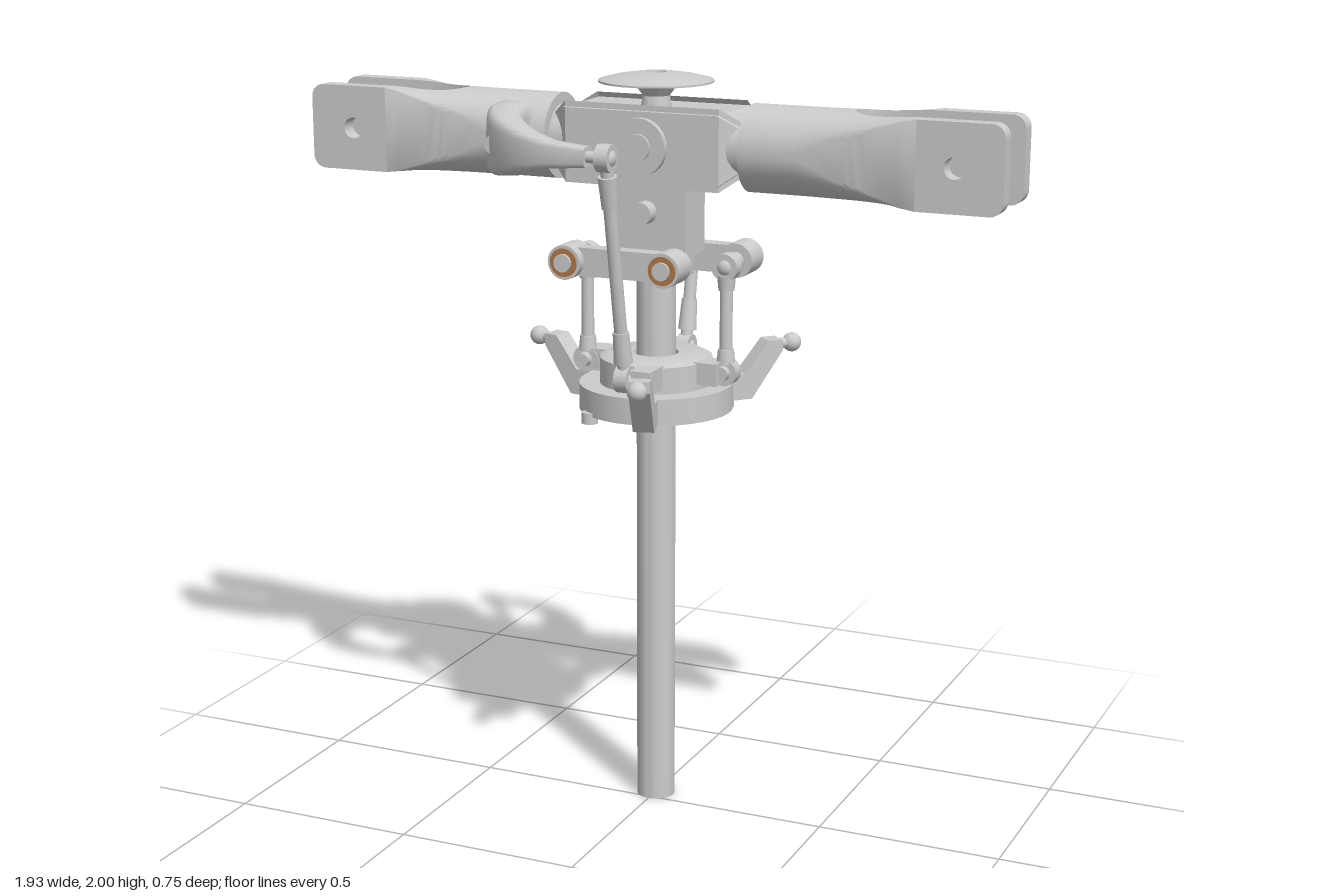
import * as THREE from 'three';
import { toCreasedNormals } from 'three/addons/utils/BufferGeometryUtils.js';

const V = (x, y, z) => new THREE.Vector3(x, y, z);
const grey = new THREE.MeshStandardMaterial({ color: 0xcccccc });
const bronze = new THREE.MeshStandardMaterial({ color: 0xb07a4a });
const GRIP_Y = 1.82;

function add(parent, name, geometry, material = grey) {
  const mesh = new THREE.Mesh(geometry, material);
  mesh.name = name;
  parent.add(mesh);
  return mesh;
}

const box = (p, name, w, h, d, x, y, z) => add(p, name, new THREE.BoxGeometry(w, h, d).translate(x, y, z));
const ball = (p, name, r, at) => add(p, name, new THREE.SphereGeometry(r, 18, 12).translate(at.x, at.y, at.z));

// Cylinder running between two points
function bar(p, name, a, b, r, r2 = r, material = grey) {
  const mesh = add(p, name, new THREE.CylinderGeometry(r2, r, a.distanceTo(b), 24), material);
  mesh.position.copy(a).lerp(b, 0.5);
  mesh.quaternion.setFromUnitVectors(V(0, 1, 0), b.clone().sub(a).normalize());
  return mesh;
}

function turned(p, name, profile) {
  const lathe = new THREE.LatheGeometry(profile.map(([r, y]) => new THREE.Vector2(r, y)), 48);
  return add(p, name, toCreasedNormals(lathe, 0.6));
}

// Skin over a row of closed rings, capped at both ends and facing outwards
function loft(rings) {
  const n = rings[0].length, tris = [];
  for (let i = 0; i + 1 < rings.length; i++) {
    for (let j = 0; j < n; j++) {
      const k = (j + 1) % n, a = rings[i], b = rings[i + 1];
      tris.push([a[j], b[j], b[k]], [a[j], b[k], a[k]]);
    }
  }
  for (const [ring, flip] of [[rings[0], false], [rings[rings.length - 1], true]]) {
    const c = ring.reduce((s, q) => s.add(q), V(0, 0, 0)).divideScalar(n);
    for (let j = 0; j < n; j++) {
      const k = (j + 1) % n;
      tris.push(flip ? [c, ring[k], ring[j]] : [c, ring[j], ring[k]]);
    }
  }
  const volume = tris.reduce((s, [a, b, c]) => s + a.dot(b.clone().cross(c)), 0);
  if (volume < 0) tris.forEach((t) => t.reverse());
  const geometry = new THREE.BufferGeometry().setFromPoints(tris.flat());
  return toCreasedNormals(geometry, 0.6);
}

// Rod with two sleeves and an eye at each end
function linkRod(p, name, a, b, axis) {
  const g = new THREE.Group();
  g.name = name;
  p.add(g);
  const at = (t) => a.clone().lerp(b, t);
  bar(g, 'rod', a, b, 0.017);
  bar(g, 'lowerSleeve', at(0.08), at(0.22), 0.025, 0.021);
  bar(g, 'upperSleeve', at(0.78), at(0.92), 0.021, 0.025);
  for (const end of [a, b]) {
    ball(g, 'jointBall', 0.027, end);
    bar(g, 'eye', end.clone().addScaledVector(axis, -0.018), end.clone().addScaledVector(axis, 0.018), 0.036);
  }
}

// Round root that turns into a square, slotted fork
function bladeGrip(p) {
  const R = 0.113, slot = 0.548, plate = 0.74, gap = 0.067;
  const g = new THREE.Group();
  g.name = 'bladeGrip';
  g.position.y = GRIP_Y;
  p.add(g);
  const xs = [0.27, 0.42, 0.48, 0.52, slot, 0.55, 0.553, 0.558, 0.566, 0.578, 0.595, 0.62, 0.66, 0.7, plate];
  for (const side of [1, -1]) {
    add(g, 'gripBody', loft(xs.map((x) => {
      const t = THREE.MathUtils.clamp((x - slot) / 0.12, 0, 1);
      const w = gap * Math.sqrt(1 - (1 - t) ** 2);
      const k = THREE.MathUtils.clamp((x - 0.41) / 0.31, 0, 1);
      const top = [];
      for (let i = 0; i <= 12; i++) {
        const z = w + (R - w) * Math.sin(i / 12 * Math.PI / 2);
        top.push(V(x, THREE.MathUtils.lerp(Math.sqrt(Math.max(0, R * R - z * z)), R, k), side * z));
      }
      return top.concat(top.map((q) => V(q.x, -q.y, q.z)).reverse());
    })));
    // Flat tine with rounded corners and a bolt hole
    const s = new THREE.Shape(), e = 0.965, c = 0.035;
    s.moveTo(plate, -R).lineTo(e - c, -R);
    s.absarc(e - c, -R + c, c, -Math.PI / 2, 0, false);
    s.absarc(e - c, R - c, c, 0, Math.PI / 2, false);
    s.lineTo(plate, R);
    s.holes.push(new THREE.Path().absarc(0.84, 0, 0.028, 0, Math.PI * 2, true));
    const tine = new THREE.ExtrudeGeometry(s, { depth: R - gap, bevelEnabled: false, curveSegments: 12 });
    add(g, 'forkTine', tine.translate(0, 0, side > 0 ? gap : -R));
  }
  bar(g, 'spindle', V(0.2, 0, 0), V(0.3, 0, 0), 0.085);
  bar(g, 'spindleBolt', V(0.5, 0, 0), V(0.57, 0, 0), 0.045);
}

// Curved horn from the grip round to the pitch link
function pitchArm(p) {
  const mid = new THREE.CatmullRomCurve3([
    V(0.37, GRIP_Y, -0.07), V(0.365, GRIP_Y, -0.13), V(0.325, GRIP_Y, -0.21),
    V(0.24, GRIP_Y, -0.275), V(0.15, GRIP_Y, -0.305), V(0.05, GRIP_Y, -0.31)]);
  const size = [[0.06, 0.095], [0.056, 0.095], [0.046, 0.08], [0.036, 0.055], [0.027, 0.035], [0.022, 0.026]];
  const rings = [];
  for (let i = 0; i <= 20; i++) {
    const t = i / 20, f = Math.min(t * 5, 4.999), n = Math.floor(f);
    const [w, h] = [0, 1].map((j) => THREE.MathUtils.lerp(size[n][j], size[n + 1][j], f - n));
    const c = mid.getPoint(t), tan = mid.getTangent(t), out = V(-tan.z, 0, tan.x).normalize();
    rings.push(Array.from({ length: 20 }, (_, j) => {
      const a = j / 20 * Math.PI * 2, u = Math.cos(a), v = Math.sin(a);
      const q = c.clone().addScaledVector(out, w * Math.sign(u) * Math.abs(u) ** 0.45);
      q.y += h * Math.sign(v) * Math.abs(v) ** 0.45;
      return q;
    }));
  }
  add(p, 'pitchArm', loft(rings));
  bar(p, 'armScrew', V(0.355, GRIP_Y, -0.15), V(0.355, GRIP_Y, -0.232), 0.026);
  bar(p, 'armStud', V(0.06, GRIP_Y, -0.31), V(0, GRIP_Y, -0.31), 0.015);
}

// Everything that occurs twice, half a turn apart
function rotorHalf() {
  const g = new THREE.Group();
  g.name = 'rotorHalf';
  bladeGrip(g);
  pitchArm(g);
  linkRod(g, 'pitchLink', V(0, 1.23, -0.2), V(0, GRIP_Y, -0.31), V(1, 0, 0));
  // Mixing lever with bronze-ringed bearings
  box(g, 'mixingLever', 0.28, 0.075, 0.045, 0.06, 1.51, -0.095);
  for (const x of [-0.08, 0.2]) {
    bar(g, 'leverBoss', V(x, 1.51, -0.06), V(x, 1.51, -0.145), 0.046);
    bar(g, 'bearingRing', V(x, 1.51, -0.14), V(x, 1.51, -0.149), 0.038, 0.038, bronze);
    bar(g, 'leverPin', V(x, 1.51, -0.02), V(x, 1.51, -0.157), 0.024);
  }
  linkRod(g, 'mixingLink', V(0.2, 1.225, 0), V(0.2, 1.505, 0), V(0, 0, 1));
  // Hub and neck fittings on this face
  bar(g, 'hubDisc', V(0, GRIP_Y, -0.1), V(0, GRIP_Y, -0.118), 0.075);
  bar(g, 'hubScrew', V(0, GRIP_Y, -0.1), V(0, GRIP_Y, -0.126), 0.035);
  bar(g, 'neckScrew', V(0, 1.645, 0), V(0, 1.645, -0.105), 0.03);
  // Swashplate lugs
  box(g, 'mixingLug', 0.16, 0.06, 0.07, 0.115, 1.225, 0.02);
  bar(g, 'mixingLugPin', V(0.2, 1.225, 0.035), V(0.2, 1.225, -0.04), 0.018);
  box(g, 'pitchLug', 0.06, 0.06, 0.1, -0.045, 1.225, -0.16);
  bar(g, 'pitchLugPin', V(-0.05, 1.225, -0.2), V(0.02, 1.225, -0.2), 0.015);
  return g;
}

export function createModel() {
  const model = new THREE.Group();
  model.name = 'rotorHead';
  const axis = new THREE.Group();
  axis.name = 'rotorAxis';
  axis.position.z = -0.04;
  model.add(axis);

  turned(axis, 'mainShaft', [[0.036, 0], [0.052, 0], [0.052, 1.75], [0.036, 1.75], [0.036, 0]]);

  // Hub block with chamfered edges all round
  const section = (x, hy, hz, c) => [[1, 1, 0], [1, 1, 1], [-1, 1, 1], [-1, 1, 0], [-1, -1, 0], [-1, -1, 1], [1, -1, 1], [1, -1, 0]]
    .map(([sy, sz, turn]) => V(x, GRIP_Y + sy * (hy - (turn ? 0 : c)), sz * (hz - (turn ? c : 0))));
  add(axis, 'hub', loft([[-0.263, 0.07, 0.07], [-0.215, 0.106, 0.112], [0.215, 0.106, 0.112], [0.263, 0.07, 0.07]]
    .map(([x, hy, hz]) => section(x, hy, hz, 0.015))));

  // Mushroom cap
  turned(axis, 'topCap', [[0, 1.91], [0.04, 1.91], [0.035, 1.94], [0.05, 1.96], [0.09, 1.97], [0.15, 1.975],
    [0.15, 1.98], [0.11, 1.99], [0.06, 1.998], [0.025, 2], [0.022, 1.985], [0, 1.985]]);

  box(axis, 'neck', 0.22, 0.2, 0.13, 0, 1.63, 0);
  box(axis, 'neckFoot', 0.16, 0.09, 0.13, 0, 1.51, 0);

  const half = rotorHalf();
  const otherHalf = half.clone();
  otherHalf.rotation.y = Math.PI;
  axis.add(half, otherHalf);

  // Swashplate: still outer ring, turning inner ring
  turned(axis, 'lowerRing', [[0.115, 1.11], [0.205, 1.11], [0.205, 1.18], [0.115, 1.18], [0.115, 1.11]]);
  turned(axis, 'bearingRace', [[0.075, 1.125], [0.15, 1.125], [0.15, 1.19], [0.075, 1.19], [0.075, 1.125]]);
  turned(axis, 'upperRing', [[0.06, 1.185], [0.15, 1.185], [0.15, 1.25], [0.13, 1.26], [0.06, 1.26], [0.06, 1.185]]);

  // Three cranked control arms
  const crank = new THREE.Shape([[0.17, 1.11], [0.27, 1.11], [0.36, 1.235], [0.36, 1.265], [0.32, 1.265], [0.25, 1.18], [0.17, 1.18]]
    .map(([r, y]) => new THREE.Vector2(r, y)));
  for (const degrees of [73, -47, 193]) {
    const arm = new THREE.Group();
    arm.name = 'controlArm';
    arm.rotation.y = -degrees * Math.PI / 180;
    axis.add(arm);
    add(arm, 'crank', new THREE.ExtrudeGeometry(crank, { depth: 0.055, bevelEnabled: false }).translate(0, 0, -0.0275));
    bar(arm, 'ballStud', V(0.35, 1.25, 0), V(0.4, 1.25, 0), 0.014);
    ball(arm, 'controlBall', 0.026, V(0.4, 1.25, 0));
  }
  for (const [x, z] of [[-0.12, 0.16], [0.14, -0.15]]) bar(axis, 'ringBolt', V(x, 1.09, z), V(x, 1.12, z), 0.022);
  return model;
}
